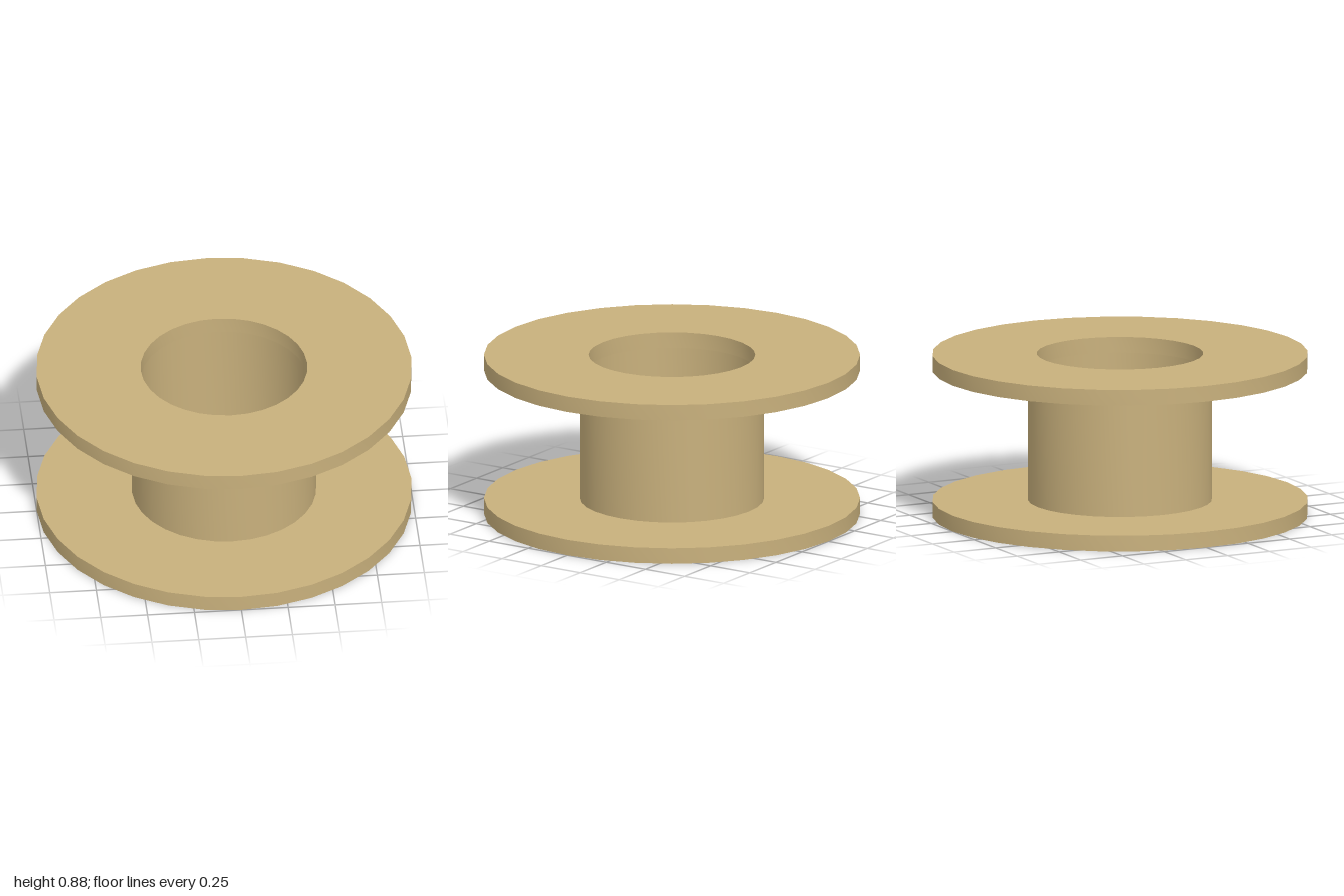
import * as THREE from 'three';
import { toCreasedNormals } from 'three/addons/utils/BufferGeometryUtils.js';

const SIDES = 32;
const HEIGHT = 0.875;
const FLANGE_THICKNESS = 0.085;
const FLANGE_RADIUS = 1;
const CORE_RADIUS = 0.49;
const BORE_RADIUS = 0.443;

// Closed ring with a rectangular section, smooth around and sharp at its rims
function ring(name, outer, y0, y1, material) {
  const profile = [
    [BORE_RADIUS, y0], [outer, y0], [outer, y1], [BORE_RADIUS, y1], [BORE_RADIUS, y0],
  ].map(([r, y]) => new THREE.Vector2(r, y));
  const geometry = toCreasedNormals(new THREE.LatheGeometry(profile, SIDES), Math.PI / 6);
  const mesh = new THREE.Mesh(geometry, material);
  mesh.name = name;
  return mesh;
}

export function createModel() {
  const group = new THREE.Group();
  group.name = 'spool';
  const material = new THREE.MeshStandardMaterial({ color: 0xc8b07c });
  const upper = HEIGHT - FLANGE_THICKNESS;

  // Two wide discs joined by a hollow core
  group.add(
    ring('bottomFlange', FLANGE_RADIUS, 0, FLANGE_THICKNESS, material),
    ring('core', CORE_RADIUS, FLANGE_THICKNESS, upper, material),
    ring('topFlange', FLANGE_RADIUS, upper, HEIGHT, material),
  );
  return group;
}
